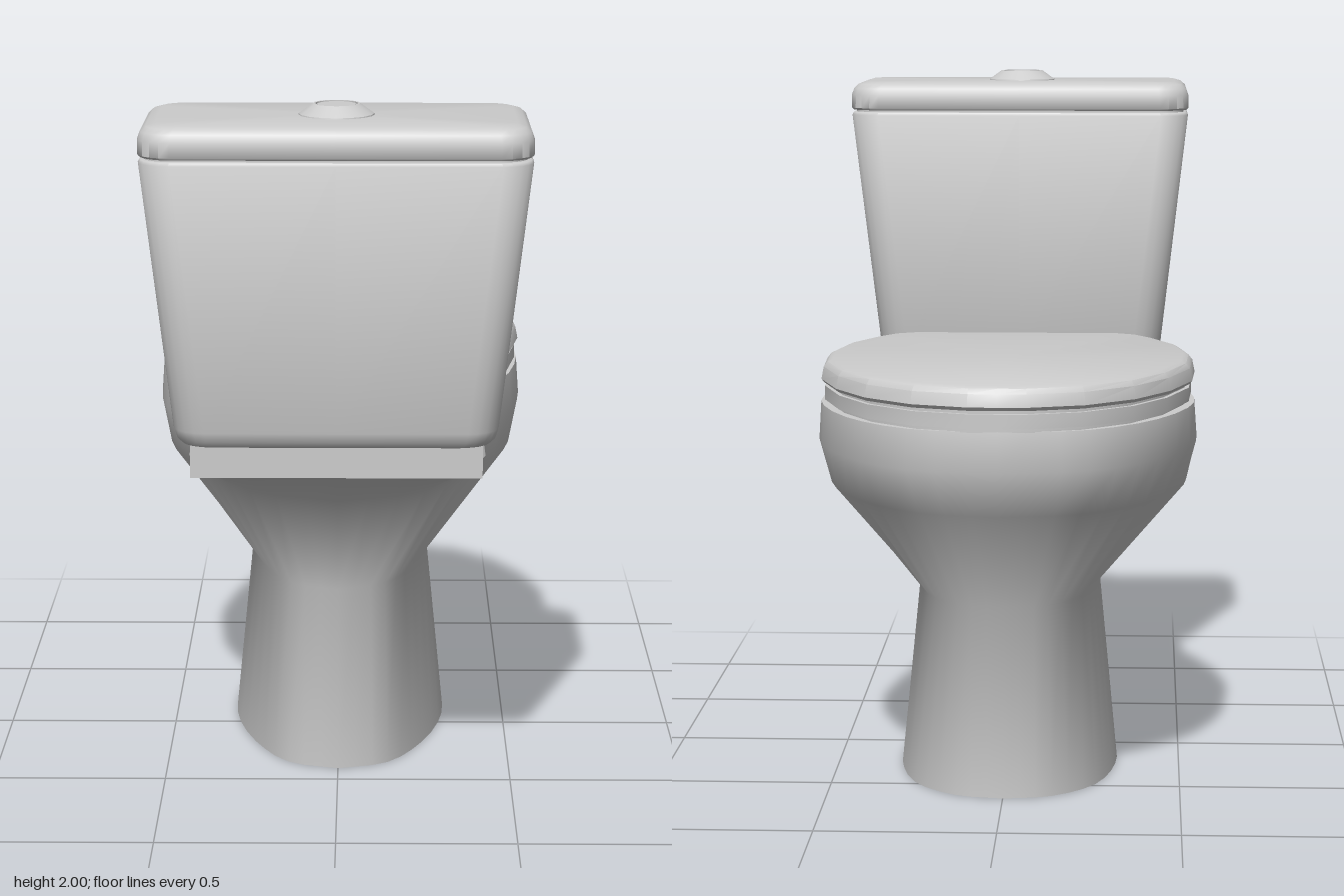
import * as THREE from 'three';
import { toCreasedNormals } from 'three/addons/utils/BufferGeometryUtils.js';

// Mirror a half outline (front to back, x >= 0) into a closed ring
const mirror = (half) => [...half, ...half.slice(1, -1).reverse().map(([x, z]) => [-x, z])];

// Smooth a few half-outline points into an even curve
function smooth(points, n = 20) {
  const curve = new THREE.CatmullRomCurve3(points.map(([x, z]) => new THREE.Vector3(x, 0, z)));
  return Array.from({ length: n + 1 }, (_, i) => {
    const p = curve.getPoint(i / n);
    return [i === 0 || i === n ? 0 : p.x, p.z];
  });
}

// Half of a rounded rectangle
function roundedHalf(w, z0, z1, r) {
  const half = [[0, z0]];
  for (let i = 0; i <= 5; i++) {
    const a = (i / 5) * Math.PI / 2;
    half.push([w - r + r * Math.sin(a), z0 + r - r * Math.cos(a)]);
  }
  for (let i = 0; i <= 5; i++) {
    const a = (i / 5) * Math.PI / 2;
    half.push([w - r + r * Math.cos(a), z1 - r + r * Math.sin(a)]);
  }
  half.push([0, z1]);
  return half;
}

// Closed solid through levels of [y, half outline], bottom to top
function loft(levels, crease = 0.9) {
  const pos = [], idx = [];
  const rings = levels.map(([y, half]) => mirror(half).map(([x, z]) => [x, y, z]));
  const n = rings[0].length;
  rings.forEach((ring) => ring.forEach((p) => pos.push(...p)));
  for (let k = 0; k < rings.length - 1; k++) {
    for (let i = 0; i < n; i++) {
      const a = k * n + i, b = k * n + (i + 1) % n;
      idx.push(a, a + n, b, b, a + n, b + n);
    }
  }
  [0, rings.length - 1].forEach((k) => {
    const c = pos.length / 3;
    const mid = rings[k].reduce((s, p) => s + p[2], 0) / n;
    pos.push(0, rings[k][0][1], mid);
    for (let i = 0; i < n; i++) {
      const p = k * n + i, q = k * n + (i + 1) % n;
      if (k === 0) idx.push(c, p, q);
      else idx.push(c, q, p);
    }
  });
  const g = new THREE.BufferGeometry();
  g.setAttribute('position', new THREE.Float32BufferAttribute(pos, 3));
  g.setIndex(idx);
  return toCreasedNormals(g, crease);
}

export function createModel() {
  const group = new THREE.Group();
  const ceramic = new THREE.MeshStandardMaterial({ color: 0xcccccc });
  ceramic.name = 'ceramic';
  const add = (name, geometry, x = 0, y = 0, z = 0) => {
    const mesh = new THREE.Mesh(geometry, ceramic);
    mesh.name = name;
    mesh.position.set(x, y, z);
    group.add(mesh);
    return mesh;
  };

  // Pedestal flaring into the bowl, with its back reaching under the shelf
  add('bowl', loft([
    [0, smooth([[0, -0.65], [0.13, -0.62], [0.25, -0.5], [0.31, -0.28], [0.31, -0.05], [0.24, 0.2], [0.14, 0.36], [0, 0.41]])],
    [0.55, smooth([[0, -0.65], [0.12, -0.62], [0.21, -0.5], [0.255, -0.28], [0.26, -0.05], [0.21, 0.2], [0.13, 0.36], [0, 0.42]])],
    [0.85, smooth([[0, -0.9], [0.21, -0.85], [0.38, -0.67], [0.5, -0.38], [0.505, -0.1], [0.4, 0.2], [0.24, 0.45], [0, 0.56]])],
    [0.98, smooth([[0, -0.965], [0.24, -0.91], [0.42, -0.72], [0.535, -0.4], [0.53, -0.1], [0.43, 0.25], [0.37, 0.69], [0, 0.77]])],
    [1.09, smooth([[0, -0.955], [0.235, -0.9], [0.415, -0.71], [0.53, -0.39], [0.52, -0.1], [0.42, 0.25], [0.33, 0.48], [0, 0.54]])],
  ]));

  // Shelf carrying the tank
  add('shelf', new THREE.BoxGeometry(0.8, 0.108, 0.57), 0, 1.034, 0.505);

  // Seat and lid share one faceted egg outline with a straight back
  const egg = [[0, -0.975], [0.08, -0.972], [0.235, -0.915], [0.37, -0.79], [0.465, -0.62], [0.528, -0.41],
    [0.538, -0.2], [0.505, 0], [0.435, 0.2], [0.385, 0.3], [0.325, 0.345], [0, 0.345]];
  const inset = (d, back = d) => egg.map(([x, z]) => {
    const s = 1 - d / 0.538;
    return [x * s, z > 0 ? z * (1 - back / 0.345) : z * (1 - d / 0.975)];
  });
  add('seat', loft([
    [1.088, inset(0.025, 0.05)], [1.1, inset(0.025, 0.05)], [1.1, inset(0.01, 0.04)],
    [1.14, inset(0.01, 0.04)], [1.14, inset(0.022, 0.05)], [1.152, inset(0.022, 0.05)],
  ], 0.5));
  add('lid', loft([
    [1.15, inset(0.008, 0)], [1.16, inset(0, 0)], [1.195, inset(0.007, 0.005)],
    [1.209, inset(0.018, 0.04)], [1.215, inset(0.032, 0.075)],
  ], 0.5));
  add('lidBackLip', new THREE.BoxGeometry(0.64, 0.055, 0.04), 0, 1.1275, 0.323);

  // Hinge pads
  for (const side of [-1, 1]) {
    add('hinge', toCreasedNormals(new THREE.CylinderGeometry(0.07, 0.07, 0.02, 10), 0.5), side * 0.215, 1.095, 0.33);
  }

  // Tapered tank
  const tank = (t, d) => roundedHalf(0.44 + 0.083 * t - d, 0.512 - 0.065 * t + d, 0.912 + 0.058 * t - d, 0.085 - d * 0.5);
  add('tank', loft([
    [1.085, tank(0, 0.045)], [1.092, tank(0, 0.022)], [1.108, tank(0, 0.007)],
    [1.135, tank(0.01, 0)], [1.868, tank(1, 0)], [1.876, tank(1, 0.004)], [1.878, tank(1, 0.014)], [1.89, tank(1, 0.014)],
  ]));

  // Tank lid with a softly rounded top edge
  const cover = (d) => roundedHalf(0.525 - d, 0.44 + d, 0.975 - d, 0.09 - d * 0.5);
  add('tankLid', loft([
    [1.884, cover(0.006)], [1.89, cover(0)], [1.93, cover(0.001)], [1.95, cover(0.008)],
    [1.963, cover(0.022)], [1.97, cover(0.045)],
  ]));

  // Flush button: sloped collar, groove and centre disc
  const profile = [[0.104, 1.965], [0.102, 1.973], [0.07, 1.996], [0.064, 2], [0.058, 2], [0.058, 1.992],
    [0.053, 1.992], [0.053, 1.998], [0, 1.998]].map(([x, y]) => new THREE.Vector2(x, y));
  add('flushButton', toCreasedNormals(new THREE.LatheGeometry(profile, 16), 0.5), 0, 0, 0.71);

  return group;
}
